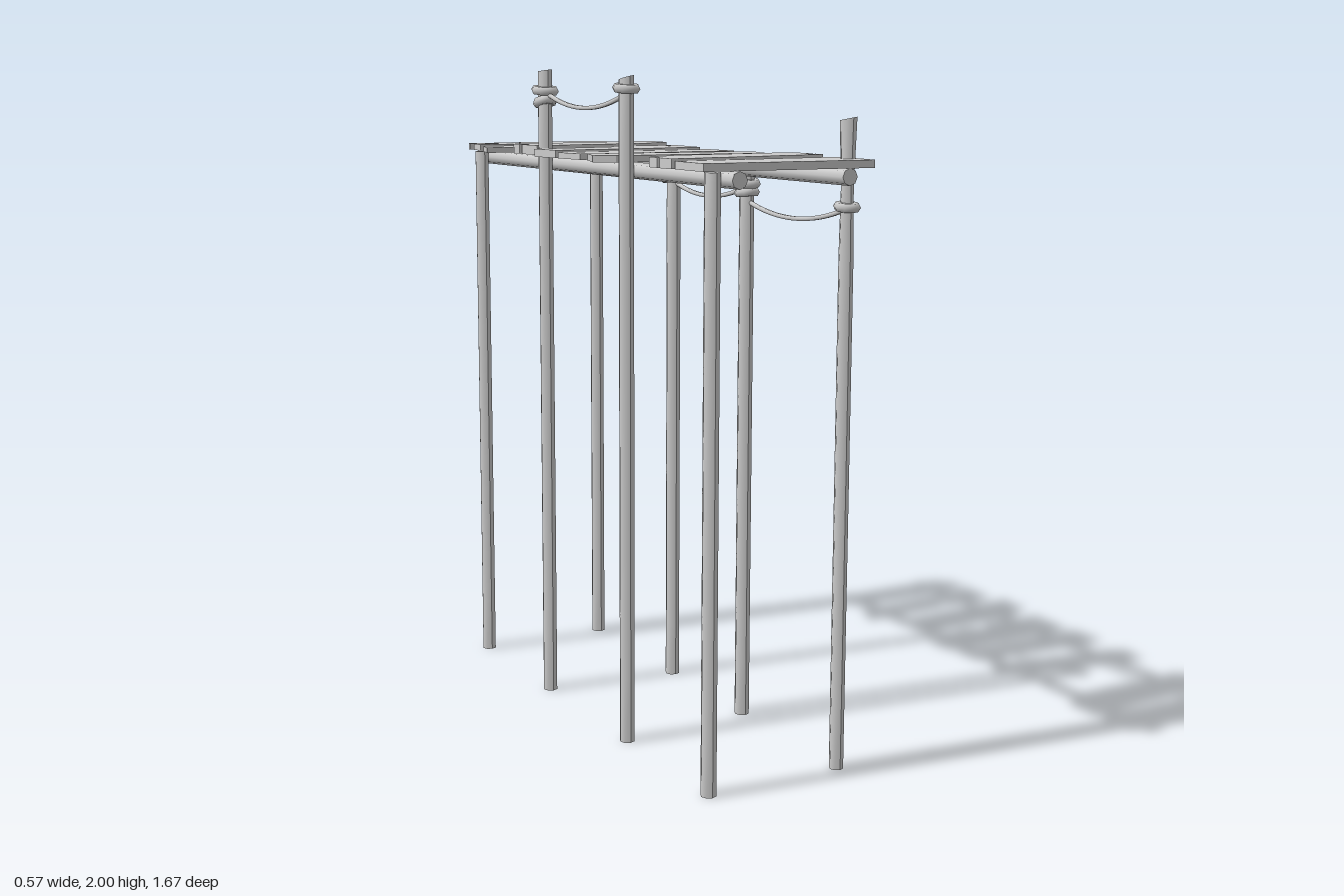
import * as THREE from 'three';

const mat = new THREE.MeshStandardMaterial({ color: 0xcccccc });
const flatMat = new THREE.MeshStandardMaterial({ color: 0xcccccc, flatShading: true });

function add(parent, name, geometry, material = mat) {
  const mesh = new THREE.Mesh(geometry, material);
  mesh.name = name;
  parent.add(mesh);
}

// Board cut from a corner outline [x, z]. A split [edge, fraction, length] is a
// wedge running inward from that edge; a gouge [x, z, halfLength] is a thin slot.
function plankGeometry(thickness, corners, splits = [], gouges = []) {
  const pts = corners.map(([x, z]) => new THREE.Vector2(x, -z));
  const outline = pts.flatMap((p, i) => {
    const next = pts[(i + 1) % pts.length];
    const split = splits.find(([edge]) => edge === i);
    if (!split) return [p];
    const [, fraction, length] = split;
    const centre = p.clone().lerp(next, fraction);
    const half = next.clone().sub(p).setLength(0.005 + length * 0.05);
    const tip = new THREE.Vector2(centre.x - Math.sign(centre.x) * length, centre.y);
    return [p, centre.clone().sub(half), tip, centre.clone().add(half)];
  });
  const shape = new THREE.Shape(outline);
  for (const [x, z, h] of gouges) {
    const hole = new THREE.Path();
    hole.absellipse(x, -z, h, h * 0.17, 0, Math.PI * 2, true, 0);
    shape.holes.push(hole);
  }
  const geo = new THREE.ExtrudeGeometry(shape, { depth: thickness, bevelEnabled: false, curveSegments: 3 });
  return geo.rotateX(-Math.PI / 2).translate(0, 1.734, 0);
}

// Round post with an optional slanted top and a neck that widens at a broken end
function postGeometry({ x, z, h, r = 0.023, cut = 0, flare }) {
  const geo = new THREE.CylinderGeometry(r, r, h, 8, 10);
  geo.translate(0, h / 2, 0);
  const p = geo.attributes.position;
  for (let i = 0; i < p.count; i++) {
    const y = p.getY(i);
    const top = y > h - 0.001;
    if (flare && y > h * 0.85) {
      const s = top ? 1.15 : 0.85;
      p.setX(i, p.getX(i) * s);
      p.setZ(i, p.getZ(i) * s);
    }
    if (top) p.setY(i, y + (p.getX(i) + p.getZ(i)) * cut);
  }
  geo.computeVertexNormals();
  return geo.translate(x, 0, z);
}

// Rope between two [z, y] ends, hanging down to a lowest height
function ropeGeometry(x, a, b, low) {
  const sag = (a[1] + b[1]) / 2 - low;
  const pts = [];
  for (let i = 0; i <= 8; i++) {
    const t = i / 8;
    const y = THREE.MathUtils.lerp(a[1], b[1], t) - 4 * sag * t * (1 - t);
    pts.push(new THREE.Vector3(x, y, THREE.MathUtils.lerp(a[0], b[0], t)));
  }
  return new THREE.TubeGeometry(new THREE.CatmullRomCurve3(pts), 16, 0.007, 6);
}

export function createModel() {
  const model = new THREE.Group();
  model.name = 'plankWalkway';

  // Deck boards, from back to front
  const deck = new THREE.Group();
  deck.name = 'deck';
  model.add(deck);
  const plank = (...args) => add(deck, 'plank', plankGeometry(...args), flatMat);
  plank(0.02, [[-.225, -.83], [.22, -.835], [.265, -.8], [.28, -.7], [-.235, -.71]], [[4, .7, .27]]);
  plank(0.017, [[-.255, -.64], [.27, -.68], [.27, -.54], [-.29, -.53]], [], [[.08, -.572, .05], [-.14, -.57, .02]]);
  plank(0.03, [[-.225, -.465], [.285, -.495], [.285, -.375], [.17, -.32], [-.215, -.31]], [[1, .6, .045], [4, .7, .06]]);
  plank(0.024, [[-.27, -.215], [.01, -.24], [.055, -.295], [.26, -.275], [.25, -.095], [-.255, -.095]], [[3, .25, .08]]);
  plank(0.018, [[-.255, -.08], [.265, -.07], [.275, .07], [-.24, .04]], [[2, .75, .22]]);
  plank(0.02, [[-.235, .08], [.24, .165], [.27, .19], [.25, .29], [-.22, .23], [-.275, .19]]);
  plank(0.028, [[-.265, .51], [-.15, .455], [.24, .45], [.245, .6], [-.265, .635]], [[2, .72, .055], [4, .58, .04]]);
  plank(0.022, [[-.26, .645], [.27, .645], [.255, .835], [-.26, .795]], [[1, .58, .1]]);

  // Long round beams under the boards
  for (const [name, x] of [['rightBeam', -.17], ['leftBeam', .178]]) {
    const geo = new THREE.CylinderGeometry(.024, .024, 1.67, 8);
    add(model, name, geo.rotateX(Math.PI / 2).translate(x, 1.711, -.005));
  }

  // Posts with rope knots, each knot as [height, outer radius, tilt]
  const posts = [
    { x: -.21, z: .757, h: 1.73 },
    { x: -.21, z: .275, h: 1.975, cut: .2, knots: [[1.945, .04, .1]] },
    { x: -.21, z: -.26, h: 1.995, cut: .1, knots: [[1.935, .043, .12], [1.9, .038, -.3]] },
    { x: -.21, z: -.755, h: 1.73 },
    { x: .22, z: .757, h: 1.865, r: .021, cut: .15, flare: true, knots: [[1.625, .037, .1]] },
    { x: .22, z: .235, h: 1.73, knots: [[1.665, .041, .15], [1.635, .038, -.1]] },
    { x: .22, z: -.21, h: 1.73, knots: [[1.655, .042, -.12]] },
    { x: .22, z: -.755, h: 1.73 },
  ];
  for (const post of posts) {
    const group = new THREE.Group();
    group.name = 'supportPost';
    model.add(group);
    add(group, 'post', postGeometry(post));
    for (const [y, outer, tilt] of post.knots ?? []) {
      const ring = new THREE.TorusGeometry(outer - .012, .014, 6, 8);
      add(group, 'ropeKnot', ring.rotateX(Math.PI / 2 + tilt).translate(post.x, y, post.z));
    }
  }

  // Sagging ropes between the posts
  add(model, 'handRope', ropeGeometry(-.21, [.275, 1.93], [-.26, 1.93], 1.885));
  add(model, 'frontLowRope', ropeGeometry(.222, [.757, 1.62], [.235, 1.61], 1.575));
  add(model, 'backLowRope', ropeGeometry(.222, [.235, 1.655], [-.21, 1.645], 1.612));

  return model;
}
